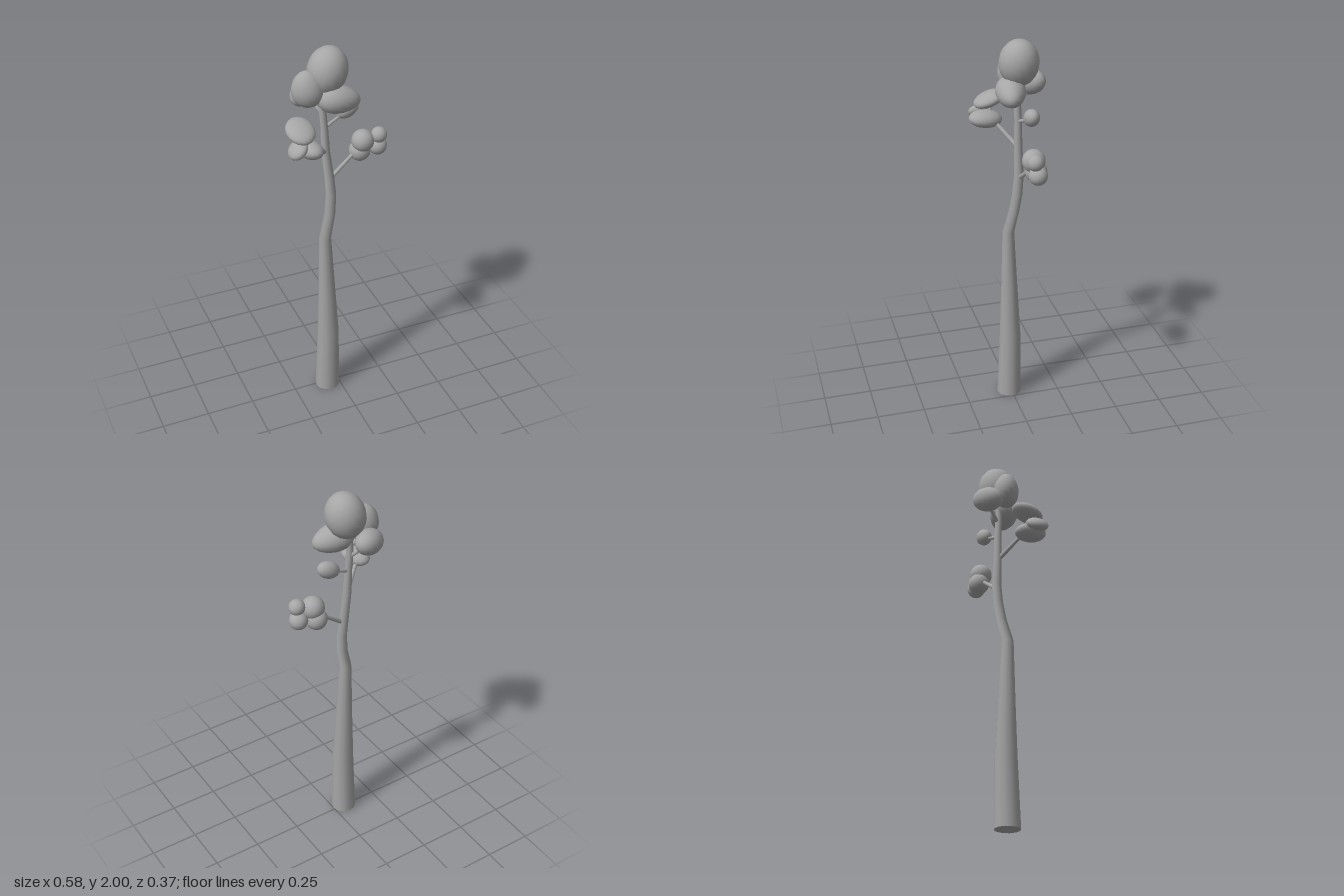
import * as THREE from 'three';

const UP = new THREE.Vector3(0, 1, 0);

export function createModel() {
  const tree = new THREE.Group();
  tree.name = 'tree';
  const grey = new THREE.MeshStandardMaterial({ color: 0xa6a6a6 });
  grey.name = 'plain grey';

  const add = (geometry, name) => {
    const mesh = new THREE.Mesh(geometry, grey);
    mesh.name = name;
    tree.add(mesh);
    return mesh;
  };

  // Trunk: a cylinder whose rings follow [x, y, z, radius]
  const rings = [
    [-0.065, 0, 0.01, 0.065], [-0.056, 0.36, 0.006, 0.057],
    [-0.063, 0.65, 0.008, 0.044], [-0.072, 0.97, 0.01, 0.031],
    [-0.037, 1.1, -0.01, 0.028], [-0.025, 1.2, -0.024, 0.027],
    [-0.03, 1.3, -0.034, 0.025], [-0.048, 1.45, -0.035, 0.022],
    [-0.054, 1.58, -0.036, 0.019], [-0.063, 1.68, -0.035, 0.018],
    [-0.058, 1.8, -0.035, 0.014],
  ];
  const last = rings.length - 1;
  const trunk = new THREE.CylinderGeometry(1, 1, 1, 12, last);
  const p = trunk.attributes.position;
  for (let i = 0; i < p.count; i++) {
    const [x, y, z, r] = rings[Math.round((p.getY(i) + 0.5) * last)];
    p.setXYZ(i, x + p.getX(i) * r, y, z + p.getZ(i) * r);
  }
  add(trunk, 'trunk');

  // Branches: thin tapered rods between two points
  const branch = (name, from, to, r0, r1) => {
    const a = new THREE.Vector3(...from), b = new THREE.Vector3(...to);
    const d = b.clone().sub(a);
    const mesh = add(new THREE.CylinderGeometry(r1, r0, d.length(), 8), name);
    mesh.position.copy(a).addScaledVector(d, 0.5);
    mesh.quaternion.setFromUnitVectors(UP, d.normalize());
  };
  branch('leftBranch', [-0.03, 1.28, -0.033], [0.13, 1.4, -0.06], 0.012, 0.009);
  branch('leftTwig', [0.13, 1.4, -0.06], [0.24, 1.44, -0.05], 0.009, 0.006);
  branch('rightBranch', [-0.045, 1.44, -0.035], [-0.17, 1.55, 0.06], 0.013, 0.009);
  branch('rightTwig', [-0.17, 1.55, 0.06], [-0.22, 1.64, 0.08], 0.009, 0.006);
  branch('upperBranch', [-0.055, 1.575, -0.036], [0.06, 1.62, -0.062], 0.01, 0.007);
  branch('backBranch', [-0.06, 1.65, -0.035], [-0.11, 1.73, -0.11], 0.011, 0.008);

  // Foliage: ellipsoids, optionally narrowed towards their own +x and +y ends
  const clump = (name, at, radii, turn = [0, 0, 0], taperX = 0, taperY = 0) => {
    const g = new THREE.SphereGeometry(1, 18, 12);
    const v = g.attributes.position;
    for (let i = 0; i < v.count; i++) {
      const x = v.getX(i), y = v.getY(i), z = v.getZ(i);
      const kx = 1 - taperX * x, ky = 1 - taperY * y;
      v.setXYZ(i, x * ky, y * kx, z * kx * ky);
    }
    g.scale(...radii);
    if (taperX || taperY) {
      // Normals of the tapered ellipsoid, made equal across the seam
      g.computeVertexNormals();
      const n = g.attributes.normal;
      for (let r = 0; r <= 12; r++) {
        const a = r * 19, b = a + 18;
        const s = new THREE.Vector3().fromBufferAttribute(n, a)
          .add(new THREE.Vector3().fromBufferAttribute(n, b)).normalize();
        n.setXYZ(a, s.x, s.y, s.z);
        n.setXYZ(b, s.x, s.y, s.z);
      }
    }
    const mesh = add(g, name);
    mesh.position.set(...at);
    mesh.rotation.set(...turn);
  };

  // Crown
  clump('crownTop', [-0.036, 1.881, -0.035], [0.099, 0.12, 0.099], [0, 0, -0.25]);
  clump('crownRight', [-0.142, 1.81, -0.022], [0.08, 0.093, 0.066], [0, -0.3, 0.1], 0, 0.1);
  clump('crownFront', [0, 1.747, 0.015], [0.108, 0.07, 0.073], [0, -0.15, -0.15], 0.18);
  clump('crownBack', [-0.118, 1.752, -0.115], [0.094, 0.064, 0.062], [0, 0.5, 0.3]);
  clump('upperClump', [0.079, 1.639, -0.066], [0.063, 0.043, 0.039], [0, 0, 0.45]);

  // Right cluster
  clump('rightClumpTop', [-0.217, 1.647, 0.067], [0.071, 0.035, 0.086], [0.35, 0, 0]);
  clump('rightClumpFront', [-0.183, 1.556, 0.097], [0.06, 0.043, 0.088], [-0.12, 0.15, -0.15]);
  clump('rightClumpSide', [-0.247, 1.575, 0.11], [0.055, 0.032, 0.06], [0, 0, 0.7]);

  // Left cluster
  clump('leftClumpTop', [0.16, 1.45, -0.054], [0.058, 0.058, 0.058]);
  clump('leftClumpLow', [0.15, 1.39, -0.069], [0.055, 0.055, 0.055]);
  clump('leftClumpTipTop', [0.241, 1.473, -0.04], [0.041, 0.041, 0.041]);
  clump('leftClumpTipLow', [0.241, 1.405, -0.053], [0.047, 0.047, 0.047]);

  return tree;
}
